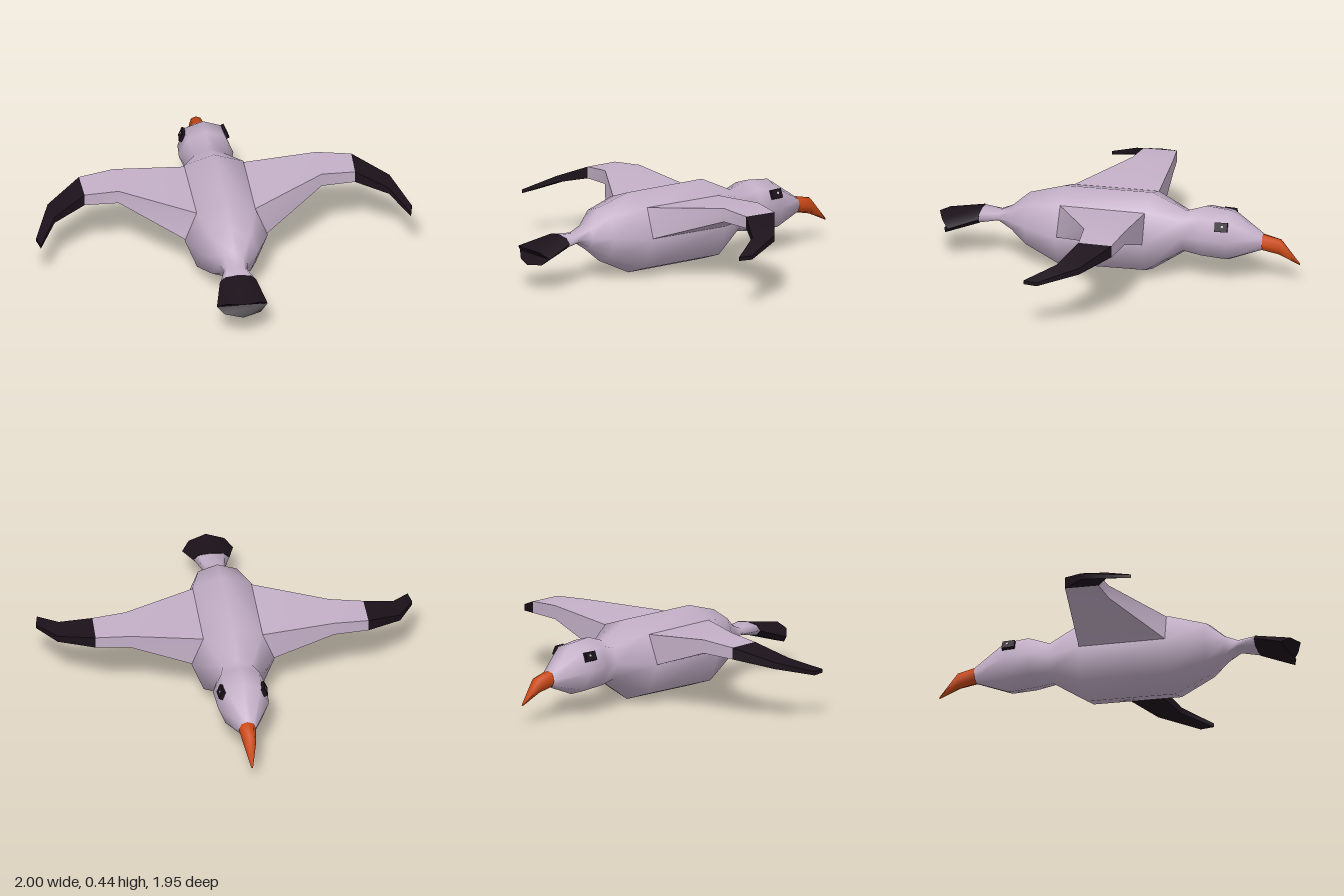
import * as THREE from 'three';
import { toCreasedNormals } from 'three/addons/utils/BufferGeometryUtils.js';

const plumage = new THREE.MeshStandardMaterial({ color: 0xc4b0c8 });
const black = new THREE.MeshStandardMaterial({ color: 0x1c121b });
const orange = new THREE.MeshStandardMaterial({ color: 0xcc4a17 });
const grey = new THREE.MeshStandardMaterial({ color: 0xcccccc });

// Skin over a row of closed rings; each ring runs counterclockwise seen from the far end.
function loft(rings, crease) {
  const n = rings[0].length, last = rings.length - 1;
  const positions = rings.flat(2), index = [];
  for (let i = 0; i < last; i++) {
    for (let j = 0; j < n; j++) {
      const a = i * n + j, b = i * n + (j + 1) % n;
      index.push(a, b, a + n, b, b + n, a + n);
    }
  }
  for (let j = 1; j < n - 1; j++) {
    index.push(0, j + 1, j);
    index.push(last * n, last * n + j, last * n + j + 1);
  }
  const g = new THREE.BufferGeometry();
  g.setAttribute('position', new THREE.Float32BufferAttribute(positions, 3));
  g.setIndex(index);
  if (crease) return toCreasedNormals(g, crease);
  g.computeVertexNormals();
  return g;
}

// Eight-sided ring across z; bow pulls the sides back towards the head.
function ring([z, halfWidth, top, bottom, bow = 0, slant = 0]) {
  const points = [];
  for (let j = 0; j < 8; j++) {
    const a = j * Math.PI / 4, c = Math.cos(a), s = Math.sin(a);
    points.push([
      halfWidth * c,
      (top + bottom) / 2 + (top - bottom) / 2 * s * (j % 2 ? 1.07 : 1),
      z - bow * c * c + slant * s,
    ]);
  }
  return points;
}

// Four-cornered wing section: leading and trailing edge, top and bottom.
function wingRing([xLead, zLead, xTrail, zTrail, top, bottom, inset = 0], side) {
  const lift = x => side > 0 ? 0.028 * Math.max(0, (x - 0.2) / 0.8) : 0;
  const points = [
    [xLead, bottom, zLead], [xLead - inset, top, zLead],
    [xTrail - inset, top, zTrail], [xTrail, bottom, zTrail],
  ].map(([x, y, z]) => [x * side, y + lift(x), z]);
  return side > 0 ? points : points.reverse();
}

export function createModel() {
  const model = new THREE.Group();
  const add = (name, geometry, material, parent = model) => {
    const mesh = new THREE.Mesh(geometry, material);
    mesh.name = name;
    parent.add(mesh);
    return mesh;
  };

  // Head, neck and body: z, half width, top, bottom
  add('body', loft([
    [-0.78, 0.045, 0.262, 0.18],
    [-0.60, 0.135, 0.385, 0.11],
    [-0.47, 0.145, 0.397, 0.12],
    [-0.36, 0.11, 0.36, 0.135],
    [-0.175, 0.22, 0.445, 0.012],
    [0.30, 0.22, 0.44, 0.005],
    [0.49, 0.145, 0.385, 0.095],
    [0.58, 0.075, 0.305, 0.17],
    [0.65, 0.062, 0.268, 0.22],
    [0.75, 0.095, 0.274, 0.205],
  ].map(ring)), plumage);

  // Hooked beak
  add('beak', loft([
    [-0.975, 0.005, 0.117, 0.108],
    [-0.87, 0.035, 0.245, 0.157],
    [-0.775, 0.046, 0.265, 0.178],
  ].map(ring), 1.2), orange);

  // Fanned tail
  add('tail', loft([
    [0.748, 0.097, 0.276, 0.203],
    [0.967, 0.135, 0.235, 0.14, 0.062, 0.012],
  ].map(ring), 0.9), black);

  // Wing sections: leading x, z, trailing x, z, top, bottom, inset of the top
  const joint = [0.725, -0.13, 0.72, 0.05, 0.398, 0.335];
  const innerWing = [
    [0.21, -0.172, 0.215, 0.295, 0.385, 0.228, 0.07],
    [0.54, -0.155, 0.54, 0.065, 0.415, 0.342],
    joint,
  ];
  const outerWing = [
    joint,
    [0.91, 0.0, 0.89, 0.13, 0.325, 0.29],
    [1.0, 0.21, 0.985, 0.285, 0.255, 0.235],
  ];

  for (const side of [1, -1]) {
    const label = side > 0 ? 'left' : 'right';
    const wing = new THREE.Group();
    wing.name = label + 'Wing';
    model.add(wing);
    add(label + 'InnerWing', loft(innerWing.map(s => wingRing(s, side)), 0.75), plumage, wing);
    add(label + 'WingTip', loft(outerWing.map(s => wingRing(s, side)), 0.75), black, wing);

    // Eye with a small glint, tilted to lie on the head
    const eye = new THREE.Group();
    eye.name = label + 'Eye';
    eye.position.set(0.112 * side, 0.327, -0.575);
    eye.rotation.set(0, 0.08 * side, 0.4 * side);
    model.add(eye);
    add(label + 'EyeBall', new THREE.BoxGeometry(0.024, 0.05, 0.068), black, eye);
    add(label + 'EyeGlint', new THREE.BoxGeometry(0.004, 0.012, 0.012), grey, eye)
      .position.set(0.0115 * side, 0.003, -0.006);
  }
  return model;
}
